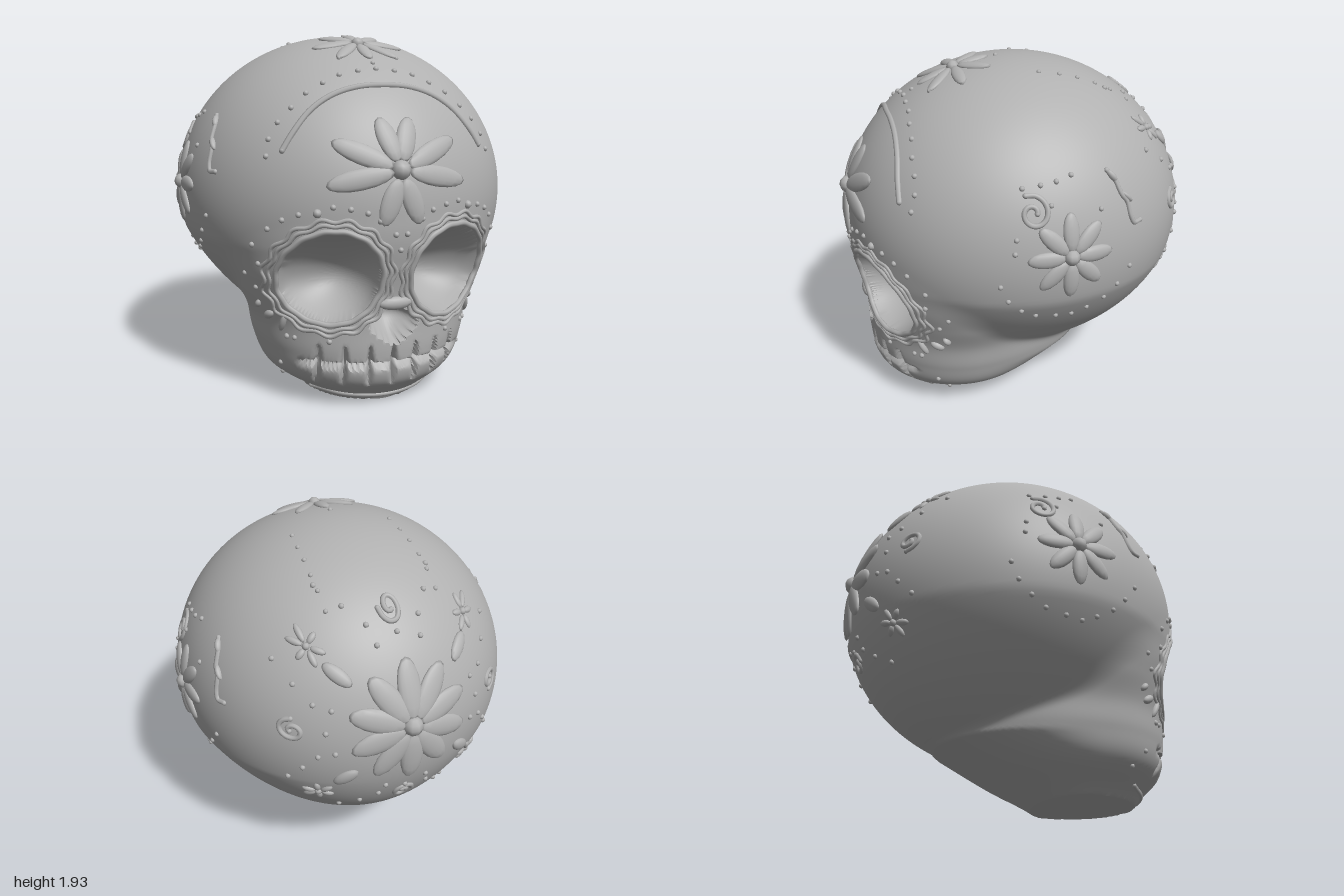
import * as THREE from 'three';
import { toCreasedNormals } from 'three/addons/utils/BufferGeometryUtils.js';

const V = (x, y, z) => new THREE.Vector3(x, y, z);
const clay = new THREE.MeshStandardMaterial({ color: 0xb0b0b0 });
clay.name = 'grey clay';

// Face and jaw half-width and front depth, every 0.15 in height
const WIDTH = [0.34, 0.53, 0.595, 0.625, 0.69, 0.74, 0.74, 0.7];
const FRONT = [0.74, 0.87, 0.895, 0.895, 0.9, 0.93, 0.955, 0.95];
function sample(t, y) {
  const f = THREE.MathUtils.clamp(y / 0.15, 0, t.length - 1), i = Math.min(Math.floor(f), t.length - 2), k = f - i;
  const a = t[Math.max(i - 1, 0)], b = t[i], c = t[i + 1], d = t[Math.min(i + 2, t.length - 1)];
  return b + 0.5 * k * (c - a + k * (2 * a - 5 * b + 4 * c - d + k * (3 * (b - c) + d - a)));
}

// Implicit skull: cranium blended with face and jaw, cut flat at the base
function field(p) {
  const sx = 0.935 - 0.25 * Math.max(0, 0.85 - p.y);
  const cranium = (Math.hypot(p.x / sx, (p.y - 1.05) / 0.87, p.z / 0.97) - 1) * 0.9;
  const dz = p.z - 0.35;
  const depth = dz > 0 ? sample(FRONT, p.y) - 0.35 : 0.18 + 2.22 * THREE.MathUtils.clamp(p.y, 0, 0.27);
  const jaw = (Math.hypot(p.x / sample(WIDTH, p.y), dz / depth) - 1) * 0.55 + 1.5 * Math.max(0, p.y - 0.95) ** 2;
  const k = 0.03, h = Math.max(k - Math.abs(cranium - jaw), 0) / k;
  return Math.max(Math.min(cranium, jaw) - h * h * k * 0.25, -p.y);
}
function hit(origin, dir) {
  let a = 0, b = 1.6;
  const p = V();
  for (let i = 0; i < 22; i++) {
    const m = (a + b) / 2;
    if (field(p.copy(origin).addScaledVector(dir, m)) < 0) a = m; else b = m;
  }
  return origin.clone().addScaledVector(dir, a);
}
function normalAt(p) {
  const e = 0.004;
  const d = v => field(p.clone().add(v)) - field(p.clone().sub(v));
  return V(d(V(e, 0, 0)), d(V(0, e, 0)), d(V(0, 0, e))).normalize();
}

// Depth of the carved sockets, nose, mouth and teeth gaps
const EYE = [0.32, 0.715];
function carve(p) {
  if (p.z < 0.3) return 0;
  const x = Math.abs(p.x), y = p.y;
  let d = 0;
  const e = ((x - EYE[0]) / 0.24) ** 2 + ((y - EYE[1]) / 0.237) ** 2;
  if (e < 1) d = 0.27 * Math.sqrt(1 - e);
  const v = (y - 0.35) / 0.2;
  if (v > 0 && v < 1) {
    const q = 1 - (x / (0.13 * Math.sin(Math.PI * v ** 1.25) ** 0.8 + 0.001)) ** 2;
    if (q > 0) d = Math.max(d, 0.15 * Math.sqrt(q) * Math.sin(Math.PI * v) ** 0.5);
  }
  const fade = THREE.MathUtils.clamp((0.46 - x) / 0.05, 0, 1);
  d = Math.max(d, 0.05 * fade * Math.exp(-(((y - 0.245) / 0.013) ** 2)));
  const tall = Math.max(0, 1 - Math.abs(y - 0.245) / 0.11);
  for (const t of [0, 0.125, 0.25, 0.37])
    d = Math.max(d, 0.055 * Math.sqrt(tall) * Math.exp(-(((x - t) / (0.008 + 0.008 * tall)) ** 2)));
  return d;
}

// Polar grid around the front axis, finest on the face
function headGeometry() {
  const rings = 160, segs = 240, C = V(0, 0.65, 0), pos = [], idx = [];
  for (let i = 0; i <= rings; i++) {
    const th = Math.PI * (i / rings) ** 1.5;
    for (let j = 0; j < segs; j++) {
      const ph = (j / segs) * Math.PI * 2;
      const dir = V(Math.sin(th) * Math.cos(ph), Math.sin(th) * Math.sin(ph), Math.cos(th));
      const p = hit(C, dir);
      p.addScaledVector(dir, -carve(p));
      pos.push(p.x, p.y, p.z);
      if (i === rings) continue;
      const a = i * segs + j, b = i * segs + ((j + 1) % segs);
      idx.push(a, a + segs, b + segs, a, b + segs, b);
    }
  }
  const g = new THREE.BufferGeometry();
  g.setAttribute('position', new THREE.Float32BufferAttribute(pos, 3));
  g.setIndex(idx);
  return toCreasedNormals(g, 0.8);
}

// Flat drawing directions projected onto the skull
const FRONT_VIEW = (u, v) => hit(V(u, v, 0), V(0, 0, 1));
const BACK_VIEW = (u, v) => hit(V(u, v, 0), V(0, 0, -1));
const TOP_VIEW = (u, v) => hit(V(u, 1, v), V(0, 1, 0));
const sideView = (s, turn) => (u, v) => hit(V(0, v, u * turn), V(s, 0, 0));

const dotGeo = new THREE.SphereGeometry(1, 9, 6);
const petalGeo = new THREE.SphereGeometry(1, 14, 8);

export function createModel() {
  const root = new THREE.Group();
  root.name = 'decorated skull';
  const add = (geo, name, parent = root) => {
    const m = new THREE.Mesh(geo, clay);
    m.name = name;
    parent.add(m);
    return m;
  };
  const group = name => {
    const g = new THREE.Group();
    g.name = name;
    root.add(g);
    return g;
  };
  add(headGeometry(), 'skull');

  const dots = (g, view, list, r = 0.015) => list.forEach(([u, v]) => {
    const m = add(dotGeo, 'dot', g);
    m.position.copy(view(u, v));
    m.scale.setScalar(r);
  });
  const petal = (g, view, u1, v1, u2, v2, w, h = 0.022) => {
    const a = view(u1, v1), b = view(u2, v2), mid = view((u1 + u2) / 2, (v1 + v2) / 2);
    const t = b.clone().sub(a), len = t.length(), n = normalAt(mid);
    t.addScaledVector(n, -t.dot(n)).normalize();
    const m = add(petalGeo, 'petal', g);
    m.quaternion.setFromRotationMatrix(new THREE.Matrix4().makeBasis(t, n.clone().cross(t), n));
    m.position.copy(mid);
    m.scale.set(len / 2, w / 2, h);
  };
  const line = (g, name, view, pts, r = 0.014, closed = false, n = 40) => {
    const curve = new THREE.CatmullRomCurve3(pts.map(([u, v]) => view(u, v)), closed);
    add(new THREE.TubeGeometry(curve, n, r, 7, closed), name, g);
    if (!closed) dots(g, view, [pts[0], pts[pts.length - 1]], r);
  };
  const polar = (u, v, r, deg) => [u + r * Math.cos(deg * Math.PI / 180), v + r * Math.sin(deg * Math.PI / 180)];
  const flower = (name, view, u, v, angles, inner, outer, w, core, h) => {
    const g = group(name);
    angles.forEach((a, i) =>
      petal(g, view, ...polar(u, v, inner, a), ...polar(u, v, Array.isArray(outer) ? outer[i] : outer, a), w, h));
    dots(g, view, [[u, v]], core);
  };
  const swirl = (g, view, u, v, size, start = 0, spin = 1) => {
    const pts = [];
    for (let i = 0; i <= 14; i++) pts.push(polar(u, v, size * (1 - i / 18), start + spin * i * 34));
    line(g, 'swirl', view, pts, 0.014);
  };
  const around = (n, offset = 0) => Array.from({ length: n }, (_, i) => offset + (i * 360) / n);
  const mirror = list => list.flatMap(([u, v]) => (u === 0 ? [[u, v]] : [[u, v], [-u, v]]));

  // Eye rims: a plain ring and two scalloped rings
  for (const s of [1, -1]) {
    const g = group(s > 0 ? 'left eye rim' : 'right eye rim');
    const ring = (r, wave) => around(96).map(a => {
      const [u, v] = polar(EYE[0], EYE[1], r + wave * Math.sin(a * Math.PI / 180 * 15), a);
      return [s * u, v];
    });
    line(g, 'inner ring', FRONT_VIEW, ring(0.247, 0.002), 0.015, true, 120);
    line(g, 'scalloped ring', FRONT_VIEW, ring(0.276, 0.006), 0.011, true, 160);
    line(g, 'scalloped border', FRONT_VIEW, ring(0.3, 0.01), 0.011, true, 160);
  }
  const faceDots = group('face dots');
  dots(faceDots, FRONT_VIEW, mirror([[0.67, 0.87], [0.64, 0.77], [0.61, 0.96], [0.55, 1.01], [0.48, 1.04], [0.33, 1.08],
    [0.25, 1.07], [0.17, 1.05], [0.11, 1.01], [0.05, 1.04], [0.03, 0.94], [0, 0.86], [0.5, 0.38], [0.32, 0.38]]));
  dots(faceDots, FRONT_VIEW, mirror([[0.4, 1.05]]), 0.022);

  // Nose bridge and chin line
  const bridge = group('nose bridge');
  petal(bridge, FRONT_VIEW, -0.09, 0.575, 0.09, 0.575, 0.07, 0.03);
  line(group('chin'), 'chin line', FRONT_VIEW, [[-0.35, 0.065], [-0.2, 0.045], [0, 0.04], [0.2, 0.045], [0.35, 0.065]], 0.013);

  // Forehead arch with dots and flower
  const arch = group('forehead arch');
  const half = [[0.53, 1.34], [0.47, 1.43], [0.38, 1.53], [0.27, 1.6], [0.14, 1.64]];
  line(arch, 'arch line', FRONT_VIEW, [...half.map(([u, v]) => [-u, v]), [0, 1.65], ...half.slice().reverse()], 0.016, false, 60);
  dots(arch, FRONT_VIEW, mirror([[0.6, 1.31], [0.58, 1.39], [0.53, 1.47], [0.46, 1.54], [0.38, 1.61], [0.29, 1.66],
    [0.2, 1.7], [0.1, 1.72], [0, 1.73]]));
  flower('forehead flower', FRONT_VIEW, 0, 1.25, [72, 108, 23, 157, -11, 191, -70, -110],
    0.04, [0.26, 0.26, 0.35, 0.35, 0.37, 0.37, 0.28, 0.28], 0.105, 0.05);

  // Crown flower and dotted lines
  flower('crown flower', TOP_VIEW, 0, 0.33, around(8), 0.03, [0.26, 0.24, 0.2, 0.24, 0.26, 0.24, 0.2, 0.24], 0.07, 0.035, 0.018);
  const crown = group('crown dots');
  dots(crown, TOP_VIEW, mirror([[0, 0.09], [0, 0.56], [0.16, 0.49], [0.3, -0.57], [0.3, -0.47], [0.3, -0.38],
    [0.295, -0.28], [0.29, -0.18], [0.28, -0.07]]), 0.013);

  // Side flowers, turned half round from one side to the other
  for (const s of [1, -1]) {
    const side = sideView(s, s);
    const name = s > 0 ? 'left side' : 'right side';
    flower(name + ' flower', side, -0.04, 1.12, around(8), 0.03, 0.225, 0.085, 0.042);
    const g = group(name + ' ornaments');
    swirl(g, side, 0.14, 1.35, 0.085, 70, 1);
    line(g, 'vine', side, [[-0.27, 1.49], [-0.31, 1.44], [-0.34, 1.37], [-0.37, 1.33], [-0.39, 1.25], [-0.41, 1.215], [-0.45, 1.215]], 0.014);
    petal(g, side, -0.34, 1.38, -0.4, 1.32, 0.03);
    petal(g, side, -0.27, 1.49, -0.32, 1.43, 0.035);
    dots(g, side, [[0.31, 0.98], [0.27, 0.89], [0.2, 0.82], [0.12, 0.77], [0.01, 0.75], [-0.08, 0.74], [-0.16, 0.77],
      [-0.25, 0.82], [-0.32, 0.89], [-0.39, 0.98], [0.18, 1.46], [0.09, 1.47], [0.01, 1.48], [-0.07, 1.5],
      [0.23, 1.23], [0.24, 1.16], [-0.21, 1.33], [0.05, 1.38]], 0.014);
    // Cheek leaves and jaw dots
    const cheek = sideView(s, 1);
    const c = group(name + ' cheek');
    petal(c, cheek, 0.68, 0.5, 0.63, 0.4, 0.035);
    petal(c, cheek, 0.62, 0.5, 0.55, 0.46, 0.045);
    petal(c, cheek, 0.56, 0.55, 0.52, 0.51, 0.035);
    dots(c, cheek, [[0.58, 0.63], [0.54, 0.7], [0.58, 0.21], [0.51, 0.13], [0.7, 0.38]], 0.014);
  }

  // Back flower with leaves, swirls, small flowers and dots around it
  flower('back flower', BACK_VIEW, 0, 1.19, around(10, 18), 0.04, 0.33, 0.125, 0.055, 0.025);
  const back = group('back ornaments');
  for (const a of [40, 140, 220, 320]) petal(back, BACK_VIEW, ...polar(0, 1.19, 0.36, a), ...polar(0, 1.19, 0.5, a), 0.075);
  [[0, 1.7, 0], [0.56, 1.19, 90], [0, 0.7, 180], [-0.56, 1.19, 270]].forEach(([u, v, a]) => swirl(back, BACK_VIEW, u, v, 0.06, a, -1));
  for (const [u, v] of mirror([[0.43, 1.57], [0.44, 0.77]]))
    flower('small back flower', BACK_VIEW, u, v, around(6, 15), 0.015, 0.078, 0.036, 0.02, 0.015);
  for (const a of around(4))
    dots(back, BACK_VIEW, [[0.4, 17], [0.4, -17], [0.48, 17], [0.48, -17], [0.57, 23], [0.57, -23], [0.66, 28], [0.66, -28], [0.42, 0]]
      .map(([r, d]) => polar(0, 1.19, r, a + d)), 0.015);
  return root;
}
